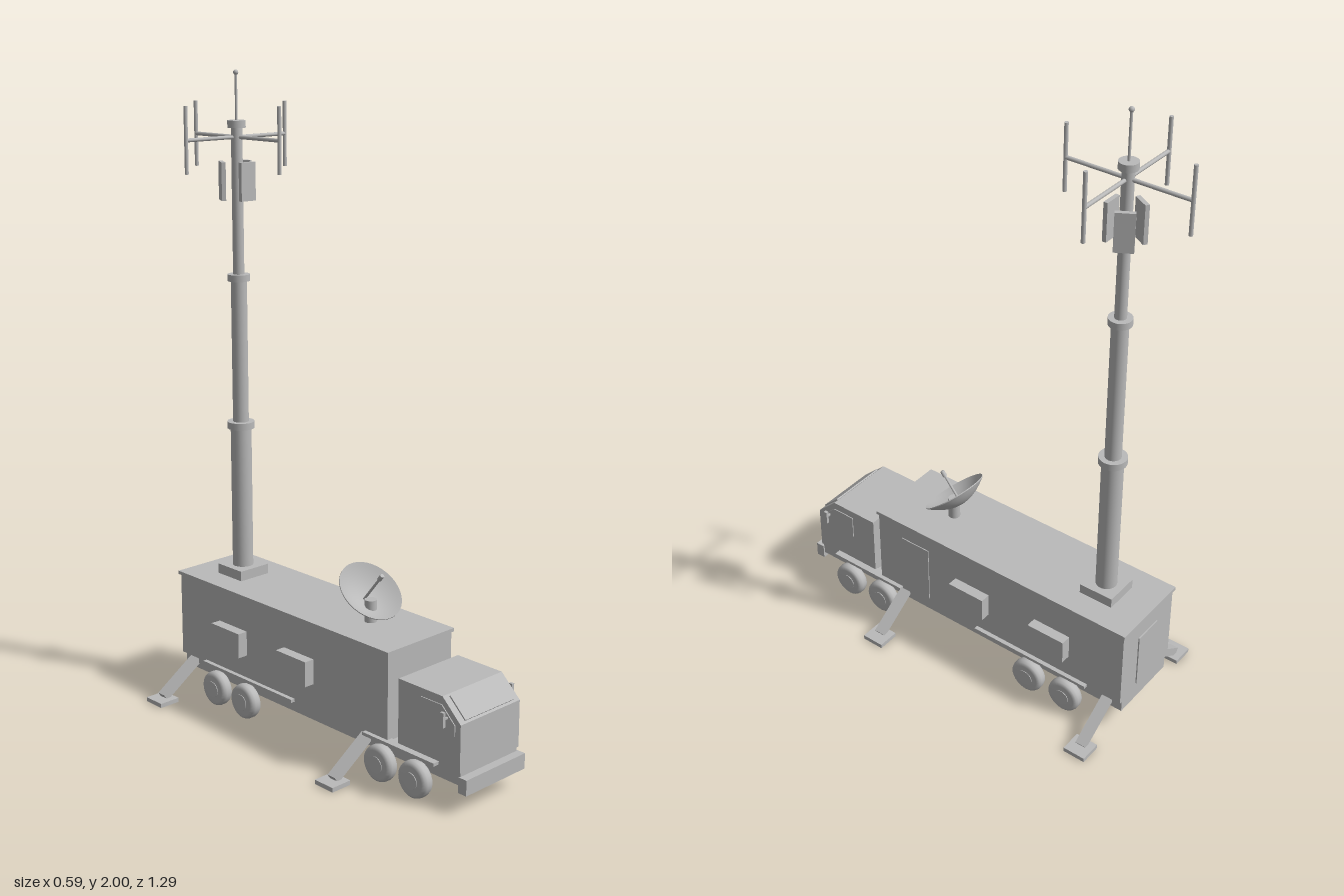
import * as THREE from 'three';

export function createModel() {
  const model = new THREE.Group();
  model.name = 'mobileCommunicationsTruck';
  const grey = new THREE.MeshStandardMaterial({ color: 0xbababa });
  grey.name = 'plainGrey';

  const add = (name, geo, x = 0, y = 0, z = 0, parent = model) => {
    const m = new THREE.Mesh(geo, grey);
    m.name = name;
    m.position.set(x, y, z);
    parent.add(m);
    return m;
  };
  // box given by its extents on each axis
  const box = (name, x0, x1, y0, y1, z0, z1, parent = model) =>
    add(name, new THREE.BoxGeometry(x1 - x0, y1 - y0, z1 - z0),
      (x0 + x1) / 2, (y0 + y1) / 2, (z0 + z1) / 2, parent);
  // upright cylinder from y0 to y1
  const post = (name, r, y0, y1, x, z, parent = model, sides = 24) =>
    add(name, new THREE.CylinderGeometry(r, r, y1 - y0, sides), x, (y0 + y1) / 2, z, parent);
  // side profile of (z, y) points, extruded across x
  const sideProfile = (points, width) => {
    const shape = new THREE.Shape(points.map(([z, y]) => new THREE.Vector2(z, y)));
    return new THREE.ExtrudeGeometry(shape, { depth: width, bevelEnabled: false })
      .rotateY(-Math.PI / 2).translate(width / 2, 0, 0);
  };

  // chassis, bumper and container
  box('chassis', -0.12, 0.12, 0.08, 0.125, -0.6, 0.618);
  box('bumper', -0.125, 0.125, 0.06, 0.108, 0.615, 0.645);
  box('container', -0.133, 0.133, 0.122, 0.396, -0.602, 0.345);
  box('containerRoof', -0.139, 0.139, 0.392, 0.403, -0.608, 0.35);
  box('rearDoor', -0.05, 0.05, 0.145, 0.33, -0.606, -0.6);
  box('sideDoor', 0.131, 0.136, 0.14, 0.34, 0.14, 0.25);

  // cab with sloping windscreen
  const cabProfile = [[0.38, 0.12], [0.62, 0.12], [0.62, 0.265], [0.55, 0.33], [0.38, 0.33]];
  add('cab', sideProfile(cabProfile, 0.25));
  const windscreen = add('windscreen', new THREE.BoxGeometry(0.205, 0.08, 0.006), 0, 0.2985, 0.586);
  windscreen.rotation.x = -Math.atan2(0.07, 0.065);
  const windowProfile = [[0.47, 0.225], [0.6, 0.225], [0.6, 0.258], [0.55, 0.305], [0.47, 0.305]];

  // rounded tyre profile, turned about x
  const tyre = new THREE.LatheGeometry([
    [0, -0.021], [0.044, -0.021], [0.053, -0.015], [0.056, -0.006],
    [0.056, 0.006], [0.053, 0.015], [0.044, 0.021], [0, 0.021],
  ].map(([r, y]) => new THREE.Vector2(r, y)), 28).rotateZ(Math.PI / 2);
  const hub = new THREE.CylinderGeometry(0.026, 0.026, 0.046, 20).rotateZ(Math.PI / 2);

  for (const s of [-1, 1]) {
    const side = s > 0 ? 'left' : 'right';
    const across = (name, xa, xb, ...rest) =>
      box(side + name, Math.min(s * xa, s * xb), Math.max(s * xa, s * xb), ...rest);

    add(side + 'CabWindow', sideProfile(windowProfile, 0.006), s * 0.125, 0, 0);
    across('Mirror', 0.141, 0.15, 0.25, 0.295, 0.565, 0.577);
    across('MirrorBracket', 0.12, 0.143, 0.27, 0.276, 0.568, 0.574);
    across('FrontFender', 0.115, 0.147, 0.12, 0.13, 0.255, 0.54);
    across('RearFender', 0.115, 0.147, 0.12, 0.13, -0.48, -0.055);

    // air units on the container walls
    for (const z of [-0.035, -0.343])
      across('AirUnit', 0.13, 0.167, 0.205, 0.285, z - 0.066, z + 0.066);

    for (const z of [0.47, 0.33, -0.27, -0.41]) {
      add(side + 'Wheel', tyre, s * 0.146, 0.058, z);
      add(side + 'Hub', hub, s * 0.146, 0.058, z);
    }

    // outriggers: slanted arm and ground pad
    for (const z of [0.25, -0.55]) {
      const dx = 0.15, dy = -0.1;
      const arm = add(side + 'OutriggerArm',
        new THREE.BoxGeometry(Math.hypot(dx, dy), 0.026, 0.03), s * 0.185, 0.067, z);
      arm.rotation.z = s * Math.atan2(dy, dx);
      across('OutriggerPad', 0.226, 0.297, 0, 0.014, z - 0.037, z + 0.037);
    }
  }

  // telescopic mast
  const mast = new THREE.Group();
  mast.name = 'mast';
  mast.position.z = -0.447;
  model.add(mast);
  box('mastBase', -0.057, 0.057, 0.4, 0.435, -0.057, 0.057, mast);
  post('lowerTube', 0.033, 0.43, 0.9, 0, 0, mast);
  post('lowerCollar', 0.043, 0.89, 0.912, 0, 0, mast);
  post('middleTube', 0.025, 0.9, 1.37, 0, 0, mast);
  post('upperCollar', 0.035, 1.36, 1.381, 0, 0, mast);
  post('upperTube', 0.0175, 1.37, 1.84, 0, 0, mast);
  post('topCap', 0.028, 1.828, 1.85, 0, 0, mast);
  post('whipAerial', 0.004, 1.84, 1.99, 0, 0, mast, 10);
  add('aerialTip', new THREE.SphereGeometry(0.008, 12, 8), 0, 1.992, 0, mast);

  // four cross arms with dipoles
  for (let i = 0; i < 4; i++) {
    const a = i * Math.PI / 2;
    const arm = new THREE.Group();
    arm.name = 'aerialArm';
    arm.rotation.y = a;
    mast.add(arm);
    add('crossArm', new THREE.CylinderGeometry(0.006, 0.006, 0.195, 10).rotateZ(Math.PI / 2),
      0.0975, 1.8, 0, arm);
    post('dipole', 0.006, 1.7, 1.9, 0.195, 0, arm, 10);
  }
  // three panel antennas around the mast
  for (let i = 0; i < 3; i++) {
    const holder = new THREE.Group();
    holder.name = 'panelAntenna';
    holder.rotation.y = i * Math.PI * 2 / 3;
    mast.add(holder);
    box('panel', -0.028, 0.028, 1.61, 1.727, 0.04, 0.053, holder);
  }

  // satellite dish on its pedestal
  post('dishPedestal', 0.019, 0.4, 0.472, 0, 0.14);
  const dish = new THREE.Group();
  dish.name = 'dish';
  dish.position.set(0, 0.465, 0.112);
  dish.rotation.x = Math.atan2(0.13, 0.16);
  model.add(dish);
  const R = 0.104, depth = 0.045, steps = 10, outer = [], inner = [];
  for (let i = 0; i <= steps; i++) {
    const r = R * i / steps;
    outer.push(new THREE.Vector2(r, depth * (i / steps) ** 2 - 0.003));
    inner.unshift(new THREE.Vector2(r, depth * (i / steps) ** 2));
  }
  add('dishBackShell', new THREE.LatheGeometry(outer, 36), 0, 0, 0, dish);
  add('dishFrontShell', new THREE.LatheGeometry(inner, 36), 0, 0, 0, dish);
  add('dishRim', new THREE.LatheGeometry([outer[steps], inner[0]], 36), 0, 0, 0, dish);
  post('feedRod', 0.004, 0, 0.115, 0, 0, dish, 10);
  post('feedHorn', 0.007, 0.1, 0.12, 0, 0, dish, 12);

  return model;
}
